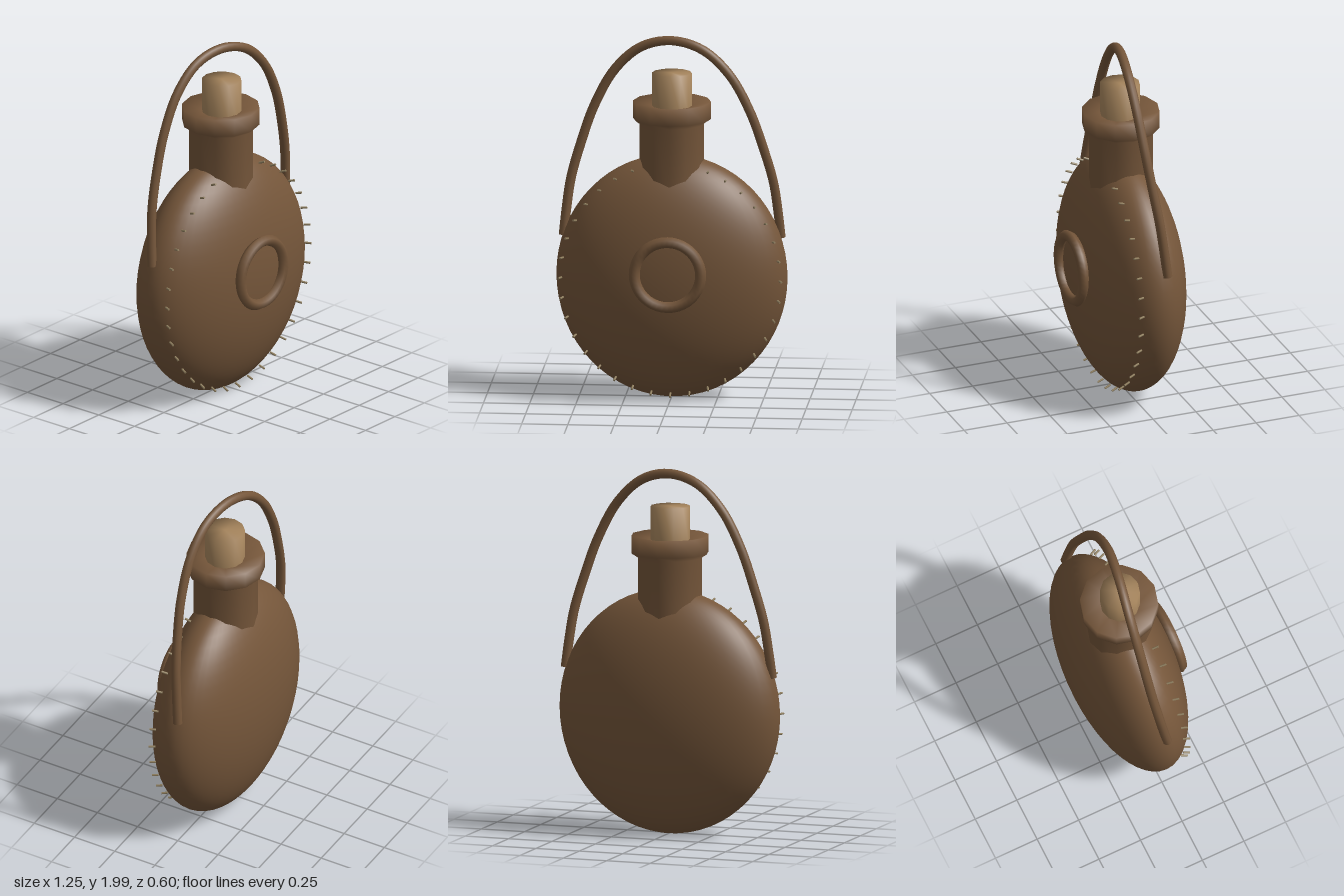
import * as THREE from 'three';

export function createModel() {
  const model = new THREE.Group();
  model.name = 'flask';

  const makeMaterial = (name, color) => {
    const m = new THREE.MeshStandardMaterial({ color });
    m.name = name;
    return m;
  };
  const leather = makeMaterial('brown leather', 0x75563a);
  const corkTan = makeMaterial('tan cork', 0xa5845c);
  const thread = makeMaterial('pale thread', 0x948362);

  const add = (name, geometry, material, x = 0, y = 0, z = 0) => {
    const mesh = new THREE.Mesh(geometry, material);
    mesh.name = name;
    mesh.position.set(x, y, z);
    model.add(mesh);
    return mesh;
  };
  const lathe = (points) =>
    new THREE.LatheGeometry(points.map(([r, y]) => new THREE.Vector2(r, y)), 12);

  // Flattened round body
  const bodyY = 0.676, bodyZ = -0.015;
  const body = add('body', new THREE.SphereGeometry(1, 48, 32), leather, 0, bodyY, bodyZ);
  body.scale.set(0.627, 0.668, 0.285);

  // Twelve-sided neck with a flared collar and slightly sunken mouth
  add('neck', lathe([
    [0.175, 1.15], [0.175, 1.52], [0.212, 1.545], [0.212, 1.64], [0.1, 1.615], [0, 1.615],
  ]), leather, 0, 0, -0.013);

  // Stopper
  add('cork', lathe([[0.108, 1.58], [0.108, 1.798], [0, 1.798]]), corkTan, 0, 0, -0.008);

  // Raised ring on the front
  add('frontRing', new THREE.TorusGeometry(0.18, 0.03, 6, 40), leather, 0, 0.74, 0.274);

  // Carrying strap, twisted gently in depth from one side to the other
  const path = new THREE.CatmullRomCurve3([
    [-0.588, 0.89, -0.01], [-0.575, 1.02, -0.025], [-0.55, 1.2, -0.042], [-0.495, 1.4, -0.055],
    [-0.425, 1.6, -0.061], [-0.315, 1.8, -0.058], [-0.17, 1.932, -0.042], [0, 1.975, -0.012],
    [0.17, 1.932, 0.016], [0.315, 1.8, 0.027], [0.425, 1.6, 0.022], [0.495, 1.4, 0.005],
    [0.55, 1.2, -0.018], [0.575, 1.02, -0.037], [0.588, 0.89, -0.05],
  ].map((p) => new THREE.Vector3(...p)));
  add('strap', new THREE.TubeGeometry(path, 72, 0.026, 10), leather);
  const ends = [[0, -1], [1, 1]];
  for (const [t, side] of ends) {
    const cap = add('strapEnd', new THREE.CircleGeometry(0.026, 10), leather);
    const point = path.getPoint(t);
    cap.position.copy(point);
    cap.lookAt(point.clone().addScaledVector(path.getTangent(t), side));
  }

  // Stitches around the front rim, leaving a gap at the neck
  const stitches = new THREE.Group();
  stitches.name = 'stitches';
  model.add(stitches);
  const stitchGeometry = new THREE.CylinderGeometry(0.006, 0.006, 0.036, 6);
  const up = new THREE.Vector3(0, 1, 0);
  for (let i = -16; i <= 16; i++) {
    const a = (i * Math.PI) / 18;
    const stitch = new THREE.Mesh(stitchGeometry, thread);
    stitch.name = 'stitch';
    stitch.position.set(0.598 * Math.sin(a), bodyY - 0.638 * Math.cos(a), 0.105);
    const direction = new THREE.Vector3(0.45 * Math.sin(a), -0.45 * Math.cos(a), 1).normalize();
    stitch.quaternion.setFromUnitVectors(up, direction);
    stitches.add(stitch);
  }

  return model;
}
